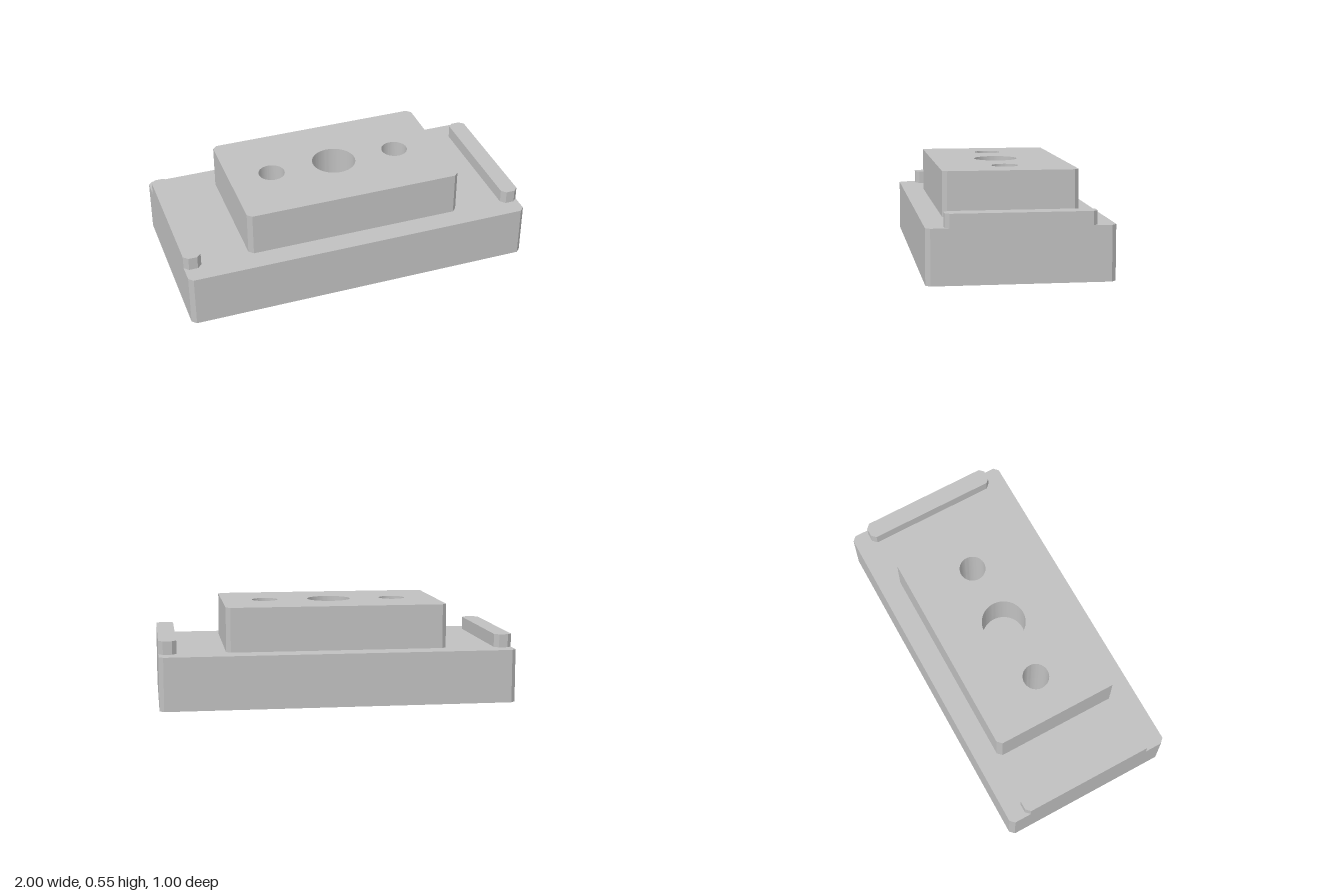
import * as THREE from 'three';
import { toCreasedNormals } from 'three/addons/utils/BufferGeometryUtils.js';

const CHAMFER = 0.025;

// Upright slab with chamfered vertical corners and round holes [x, radius]
function slab(halfX, halfZ, bottom, top, holes = []) {
  const c = CHAMFER;
  const shape = new THREE.Shape([
    [halfX - c, -halfZ], [halfX, -halfZ + c], [halfX, halfZ - c], [halfX - c, halfZ],
    [-halfX + c, halfZ], [-halfX, halfZ - c], [-halfX, -halfZ + c], [-halfX + c, -halfZ],
  ].map(([x, z]) => new THREE.Vector2(x, z)));
  for (const [x, r] of holes) {
    shape.holes.push(new THREE.Path().absarc(x, 0, r, 0, Math.PI * 2, true));
  }
  const geometry = new THREE.ExtrudeGeometry(shape, {
    depth: top - bottom, bevelEnabled: false, curveSegments: 48,
  });
  geometry.rotateX(-Math.PI / 2).translate(0, bottom, 0);
  return toCreasedNormals(geometry, 0.4);
}

export function createModel() {
  const model = new THREE.Group();
  model.name = 'mountingBlock';
  const grey = new THREE.MeshStandardMaterial({ color: 0xc0c0c0 });
  grey.name = 'plain grey';

  const add = (name, geometry, x = 0) => {
    const mesh = new THREE.Mesh(geometry, grey);
    mesh.name = name;
    mesh.position.x = x;
    model.add(mesh);
  };

  // The two bolt holes run right through; the centre bore ends on the base
  const boltHoles = [[-0.375, 0.075], [0.375, 0.075]];
  add('base', slab(1, 0.5, 0, 0.3, boltHoles));
  add('raisedBlock', slab(0.625, 0.375, 0.3, 0.55, [...boltHoles, [0, 0.125]]));

  // End rails, flush with the ends of the base
  add('leftRail', slab(0.05, 0.4, 0.3, 0.375), 0.95);
  add('rightRail', slab(0.05, 0.4, 0.3, 0.375), -0.95);

  return model;
}
